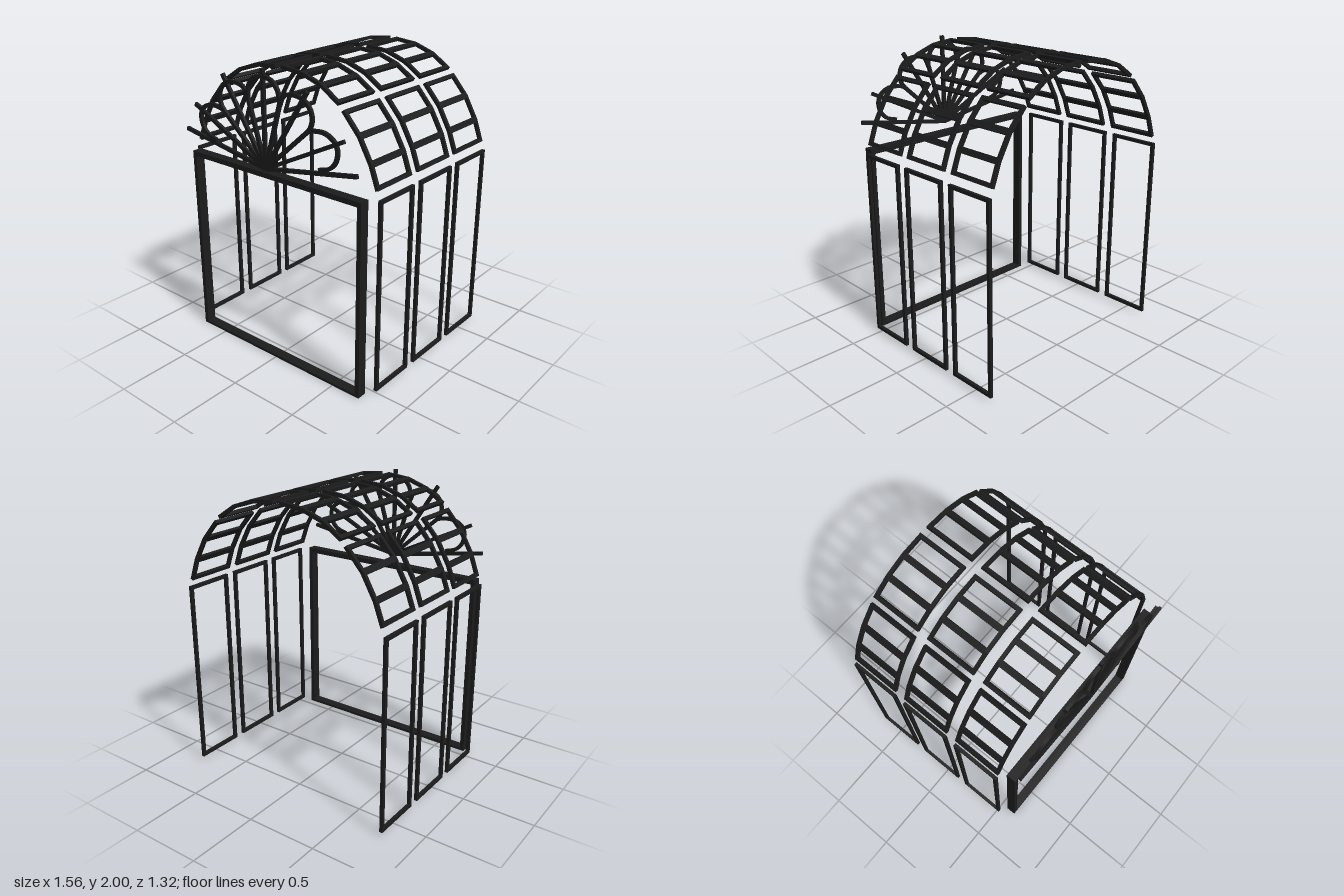
import * as THREE from 'three';

const iron = new THREE.MeshStandardMaterial({ color: 0x1c1c1c });
iron.name = 'black iron';

const V = (x, y) => new THREE.Vector2(x, y);
const BAYS = [[0.18, 0.52], [-0.24, 0.11], [-0.66, -0.31]];
const BAR = 0.023;

function add(parent, geometry, name) {
  const mesh = new THREE.Mesh(geometry, iron);
  mesh.name = name;
  parent.add(mesh);
  return mesh;
}

function extrude(shape, z0, z1) {
  return new THREE.ExtrudeGeometry(shape, { depth: z1 - z0, bevelEnabled: false }).translate(0, 0, z0);
}

// Rectangle with a rectangular opening, extruded along z
function frameGeometry(x0, x1, y0, y1, side, bottom, top, z0, z1) {
  const rect = (a, b, c, d) => [V(a, c), V(b, c), V(b, d), V(a, d)];
  const shape = new THREE.Shape(rect(x0, x1, y0, y1));
  shape.holes.push(new THREE.Path(rect(x0 + side, x1 - side, y0 + bottom, y1 - top).reverse()));
  return extrude(shape, z0, z1);
}

// Band of constant width following a polyline, with mitred corners
function ribbonGeometry(points, width, z0, z1) {
  const left = [], right = [];
  points.forEach((p, i) => {
    const before = p.clone().sub(points[Math.max(i - 1, 0)]).normalize();
    const after = points[Math.min(i + 1, points.length - 1)].clone().sub(p).normalize();
    const t = before.clone().add(after).normalize();
    const cos = Math.max(t.dot(i ? before : after), 0.5);
    const n = V(-t.y, t.x).multiplyScalar(width / 2 / cos);
    left.push(p.clone().add(n));
    right.unshift(p.clone().sub(n));
  });
  return extrude(new THREE.Shape([...left, ...right]), z0, z1);
}

// Curved roof panel: two segmented rails, two end bars and two cross bars
function roofPanel(points, [z0, z1]) {
  const panel = new THREE.Group();
  panel.name = 'roofPanel';
  add(panel, ribbonGeometry(points, BAR, z0, z0 + BAR), 'backRail');
  add(panel, ribbonGeometry(points, BAR, z1 - BAR, z1), 'frontRail');
  const last = points.length - 1;
  points.forEach((p, i) => {
    const end = i === 0 || i === last;
    const t = points[Math.min(i + 1, last)].clone().sub(points[Math.max(i - 1, 0)]).normalize();
    const width = end ? 0.026 : 0.04;
    const shift = i === 0 ? width / 2 : i === last ? -width / 2 : 0;
    const bar = add(panel, new THREE.BoxGeometry(width, end ? BAR : 0.02, z1 - z0 - 2 * BAR + 0.002),
      end ? 'endBar' : 'crossBar');
    bar.position.set(p.x + t.x * shift, p.y + t.y * shift, (z0 + z1) / 2);
    bar.rotation.z = Math.atan2(t.y, t.x);
  });
  return panel;
}

// Fan window with radiating spokes and scalloped petals
function fanWindow() {
  const fan = new THREE.Group();
  fan.name = 'fanWindow';
  const z0 = 0.64, z1 = 0.66, hubY = 1.378;
  const spokes = [[9.6, 0.72], [26.2, 0.685], [41.4, 0.455], [57.3, 0.64], [73, 0.445], [90, 0.621]];
  for (const [degrees, length] of spokes) {
    for (const s of degrees === 90 ? [1] : [1, -1]) {
      const a = THREE.MathUtils.degToRad(degrees);
      const tip = V(s * Math.cos(a) * length, hubY + Math.sin(a) * length);
      add(fan, ribbonGeometry([V(0, hubY), tip], 0.025, z0, z1), 'spoke');
    }
  }
  const petal = (list, s, name) => {
    const curve = new THREE.SplineCurve(list.map(([x, y]) => V(s * x, y)));
    add(fan, ribbonGeometry(curve.getPoints(28), 0.024, z0, z1), name);
  };
  petal([[-0.132, 1.8], [-0.12, 1.88], [-0.075, 1.933], [0, 1.952], [0.075, 1.933], [0.12, 1.88], [0.132, 1.8]],
    1, 'topPetal');
  for (const s of [1, -1]) {
    petal([[0.132, 1.8], [0.16, 1.857], [0.22, 1.88], [0.3, 1.873], [0.36, 1.83], [0.382, 1.77],
      [0.37, 1.715], [0.34, 1.678]], s, 'upperPetal');
    petal([[0.34, 1.678], [0.39, 1.697], [0.475, 1.7], [0.542, 1.666], [0.568, 1.61], [0.553, 1.543],
      [0.505, 1.495], [0.43, 1.472]], s, 'lowerPetal');
  }
  return fan;
}

export function createModel() {
  const model = new THREE.Group();
  model.name = 'archedPavilion';

  // Front opening
  add(model, frameGeometry(-0.714, 0.714, 0, 1.332, 0.03, 0.019, 0.034, 0.553, 0.62), 'frontFrame');
  model.add(fanWindow());

  // Roof profile, from the ridge down to the eave
  const upper = [[0.026, 1.988], [0.19, 1.972], [0.335, 1.922], [0.465, 1.838]];
  const lower = [[0.495, 1.805], [0.61, 1.675], [0.695, 1.525], [0.748, 1.38]];

  for (const s of [1, -1]) {
    for (const bay of BAYS) {
      for (const profile of [upper, lower]) {
        model.add(roofPanel(profile.map(([x, y]) => V(s * x, y)), bay));
      }
      // Side wall frame, turned so that its width runs along z
      const wall = frameGeometry(-bay[1], -bay[0], 0.028, 1.327, BAR, BAR, BAR, -0.011, 0.011);
      wall.rotateY(Math.PI / 2).translate(s * 0.77, 0, 0);
      add(model, wall, s > 0 ? 'leftWallFrame' : 'rightWallFrame');
    }
  }
  return model;
}
